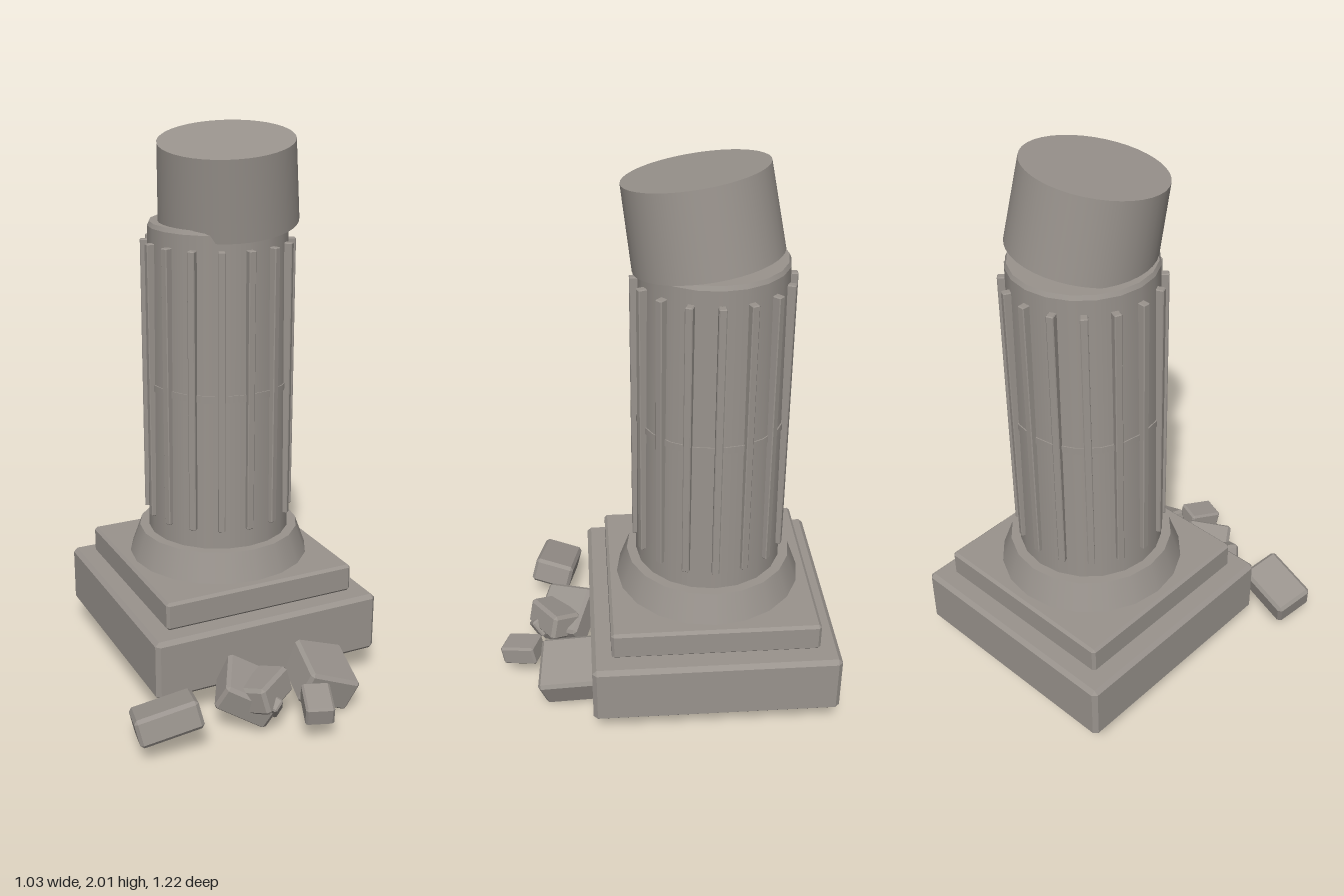
import * as THREE from 'three';
import { ConvexGeometry } from 'three/addons/geometries/ConvexGeometry.js';

const stone = new THREE.MeshStandardMaterial({ color: 0x99938d });
stone.name = 'weathered stone';

// Box with chamfered edges
function block(name, size, position, degrees = [0, 0, 0], bevel = 0.012) {
  const points = [];
  for (const sx of [-1, 1]) for (const sy of [-1, 1]) for (const sz of [-1, 1]) {
    const signs = [sx, sy, sz];
    for (let face = 0; face < 3; face++) {
      const c = signs.map((s, i) => s * (size[i] / 2 - (i === face ? 0 : bevel)));
      points.push(new THREE.Vector3(...c));
    }
  }
  const mesh = new THREE.Mesh(new ConvexGeometry(points), stone);
  mesh.name = name;
  mesh.position.set(...position);
  mesh.rotation.set(...degrees.map(THREE.MathUtils.degToRad));
  return mesh;
}

// Upright round section between two heights
function drum(name, topRadius, bottomRadius, y0, y1, sides) {
  const geometry = new THREE.CylinderGeometry(topRadius, bottomRadius, y1 - y0, sides);
  const mesh = new THREE.Mesh(geometry, stone);
  mesh.name = name;
  mesh.position.y = (y0 + y1) / 2;
  return mesh;
}

export function createModel() {
  const model = new THREE.Group();
  model.name = 'brokenColumn';

  // Column on its square, stepped base
  const column = new THREE.Group();
  column.name = 'column';
  column.position.set(0.075, 0, -0.17);
  column.add(
    block('plinth', [0.88, 0.225, 0.88], [0, 0.2075, 0], [0, 0, 0], 0.015),
    block('plinthStep', [0.74, 0.105, 0.74], [0, 0.3725, 0], [0, 0, 0], 0.01),
    drum('baseMoulding', 0.297, 0.335, 0.425, 0.53, 20),
    drum('lowerShaft', 0.256, 0.262, 0.53, 1.08, 20),
    drum('jointBand', 0.26, 0.26, 1.08, 1.105, 20),
    drum('upperShaft', 0.25, 0.256, 1.105, 1.66, 20),
    drum('shaftRim', 0.243, 0.25, 1.66, 1.675, 20)
  );

  // Sixteen upright ribs around the shaft
  const ribs = new THREE.Group();
  ribs.name = 'ribs';
  for (let i = 0; i < 16; i++) {
    const angle = (i / 16) * 360;
    const a = THREE.MathUtils.degToRad(angle);
    ribs.add(block('rib', [0.026, 1.01, 0.034],
      [Math.sin(a) * 0.258, 1.105, Math.cos(a) * 0.258], [0, angle, 0], 0.003));
  }
  column.add(ribs);
  model.add(column);

  // Slipped, tilted top drum
  const bottom = new THREE.Vector3(0.105, 1.678, -0.148);
  const top = new THREE.Vector3(0.076, 1.957, -0.105);
  const axis = top.clone().sub(bottom);
  const cap = drum('brokenDrum', 0.238, 0.248, 0, axis.length(), 40);
  cap.position.copy(bottom).add(top).multiplyScalar(0.5);
  cap.quaternion.setFromUnitVectors(new THREE.Vector3(0, 1, 0), axis.normalize());
  model.add(cap);

  // Fallen pieces in front
  const rubble = new THREE.Group();
  rubble.name = 'rubble';
  rubble.add(
    block('leftRubble', [0.225, 0.1, 0.155], [-0.388, 0.118, 0.4], [-13, -13, 10]),
    block('middleRubble', [0.2, 0.11, 0.19], [-0.065, 0.115, 0.36], [12, -28, -22]),
    block('upperRubble', [0.175, 0.1, 0.12], [-0.022, 0.135, 0.41], [-18, 31, 14]),
    block('smallChip', [0.05, 0.07, 0.05], [-0.015, 0.1, 0.465], [25, 35, 20], 0.006),
    block('largeRubble', [0.205, 0.13, 0.32], [0.247, 0.11, 0.295], [12, -10, -20]),
    block('smallRubble', [0.1, 0.075, 0.135], [0.122, 0.108, 0.53], [13, -20, 5], 0.008)
  );
  model.add(rubble);

  return model;
}
